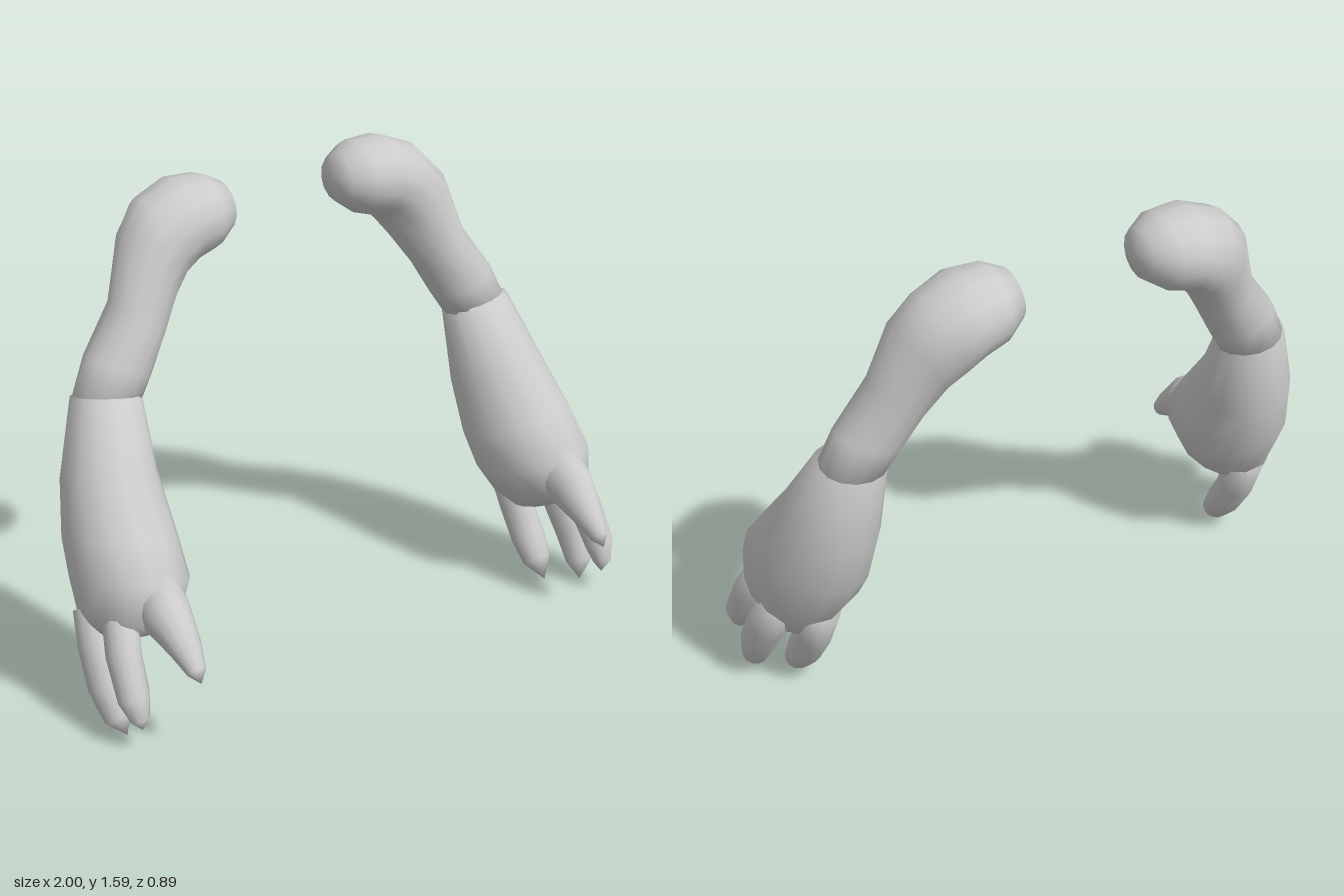
import * as THREE from 'three';

const V = (x, y, z) => new THREE.Vector3(x, y, z);
const SIDES = 14;
const material = new THREE.MeshStandardMaterial({ color: 0xcccccc });

// Skin elliptical rings { p: centre, u, w: half axes } between two end points.
function loft(name, start, rings, end, side) {
  const pos = [], index = [];
  const put = v => pos.push(v.x * side, v.y, v.z);
  const tri = (a, b, c) => (side > 0 ? index.push(a, b, c) : index.push(a, c, b));
  put(start);
  for (const { p, u, w } of rings) {
    for (let j = 0; j < SIDES; j++) {
      const t = (j / SIDES) * Math.PI * 2;
      put(p.clone().addScaledVector(u, Math.cos(t)).addScaledVector(w, Math.sin(t)));
    }
  }
  put(end);
  const last = 1 + rings.length * SIDES;
  for (let j = 0; j < SIDES; j++) {
    const k = (j + 1) % SIDES;
    tri(0, 1 + k, 1 + j);
    for (let i = 0; i < rings.length - 1; i++) {
      const a = 1 + i * SIDES, b = a + SIDES;
      tri(a + j, a + k, b + j);
      tri(a + k, b + k, b + j);
    }
    tri(last, last - SIDES + j, last - SIDES + k);
  }
  const geo = new THREE.BufferGeometry();
  geo.setAttribute('position', new THREE.Float32BufferAttribute(pos, 3));
  geo.setIndex(index);
  geo.computeVertexNormals();
  const mesh = new THREE.Mesh(geo, material);
  mesh.name = name;
  return mesh;
}

// Upper arm: outer x, y, inner x, y, centre z, half depth
const UPPER = [
  [0.23, 1.55, 0.22, 1.39, -0.29, 0.09],
  [0.30, 1.585, 0.29, 1.34, -0.29, 0.14],
  [0.40, 1.588, 0.37, 1.315, -0.29, 0.157],
  [0.52, 1.54, 0.41, 1.27, -0.285, 0.145],
  [0.605, 1.45, 0.45, 1.21, -0.26, 0.125],
  [0.67, 1.25, 0.51, 1.12, -0.225, 0.11],
  [0.78, 1.10, 0.57, 1.01, -0.205, 0.103],
  [0.84, 0.97, 0.62, 0.93, -0.19, 0.095],
];

// Forearm and palm: centre x, y, z, half width, half depth, rise towards the front
const FOREARM = [
  [0.728, 0.97, -0.19, 0.115, 0.102, 0.2],
  [0.77, 0.74, -0.12, 0.152, 0.152, 0.4],
  [0.792, 0.575, -0.03, 0.174, 0.197, 0.3],
  [0.805, 0.465, 0.045, 0.177, 0.222, 0.2],
  [0.83, 0.36, 0.07, 0.147, 0.19, 0.15],
  [0.85, 0.29, 0.07, 0.09, 0.12, 0.3],
];

// Fingers: centre x, y, z, half width, half thickness; the last entry is the tip
const FINGERS = {
  thumb: [[0.8, 0.47, 0.17, 0.085, 0.1], [0.805, 0.41, 0.27, 0.075, 0.085],
    [0.8, 0.345, 0.36, 0.052, 0.05], [0.8, 0.29, 0.42, 0.03, 0.03], [0.8, 0.262, 0.445]],
  foreFinger: [[0.9, 0.4, 0.14, 0.055, 0.06], [0.925, 0.29, 0.2, 0.055, 0.06],
    [0.935, 0.17, 0.27, 0.05, 0.05], [0.93, 0.11, 0.295, 0.03, 0.03], [0.925, 0.075, 0.3]],
  middleFinger: [[0.91, 0.36, 0, 0.065, 0.065], [0.935, 0.26, 0.06, 0.06, 0.07],
    [0.945, 0.15, 0.12, 0.055, 0.065], [0.935, 0.06, 0.17, 0.045, 0.045], [0.92, 0.005, 0.195]],
  rearFinger: [[0.81, 0.36, -0.08, 0.07, 0.07], [0.815, 0.24, -0.04, 0.055, 0.065],
    [0.82, 0.13, 0.03, 0.06, 0.06], [0.82, 0.06, 0.08, 0.05, 0.045], [0.82, 0.003, 0.125]],
};

function finger(name, rows, side) {
  const pts = rows.map(r => V(r[0], r[1], r[2]));
  const rings = rows.slice(0, -1).map(([, , , a, b], i) => {
    const t = pts[i + 1].clone().sub(pts[Math.max(i - 1, 0)]).normalize();
    const u = V(1, 0, 0).addScaledVector(t, -t.x).normalize();
    const w = t.clone().cross(u);
    return { p: pts[i], u: u.multiplyScalar(a), w: w.multiplyScalar(b) };
  });
  return loft(name, pts[0], rings, pts[pts.length - 1], side);
}

function arm(name, side) {
  const group = new THREE.Group();
  group.name = name;
  const upper = UPPER.map(([ox, oy, ix, iy, z, d]) => ({
    p: V((ox + ix) / 2, (oy + iy) / 2, z),
    u: V((ox - ix) / 2, (oy - iy) / 2, 0),
    w: V(0, 0, d),
  }));
  const fore = FOREARM.map(([x, y, z, a, b, rise]) => ({
    p: V(x, y, z), u: V(a, a * 0.15, 0), w: V(0, b * rise, b),
  }));
  group.add(
    loft('upperArm', V(0.2, 1.475, -0.29), upper, V(0.73, 0.93, -0.19), side),
    loft('forearmAndPalm', V(0.73, 0.98, -0.19), fore, V(0.85, 0.275, 0.07), side),
  );
  // Thumb in front, then three fingers towards the back
  for (const [part, rows] of Object.entries(FINGERS)) group.add(finger(part, rows, side));
  return group;
}

export function createModel() {
  const model = new THREE.Group();
  model.name = 'pairOfArms';
  model.add(arm('leftArm', 1), arm('rightArm', -1));
  return model;
}
